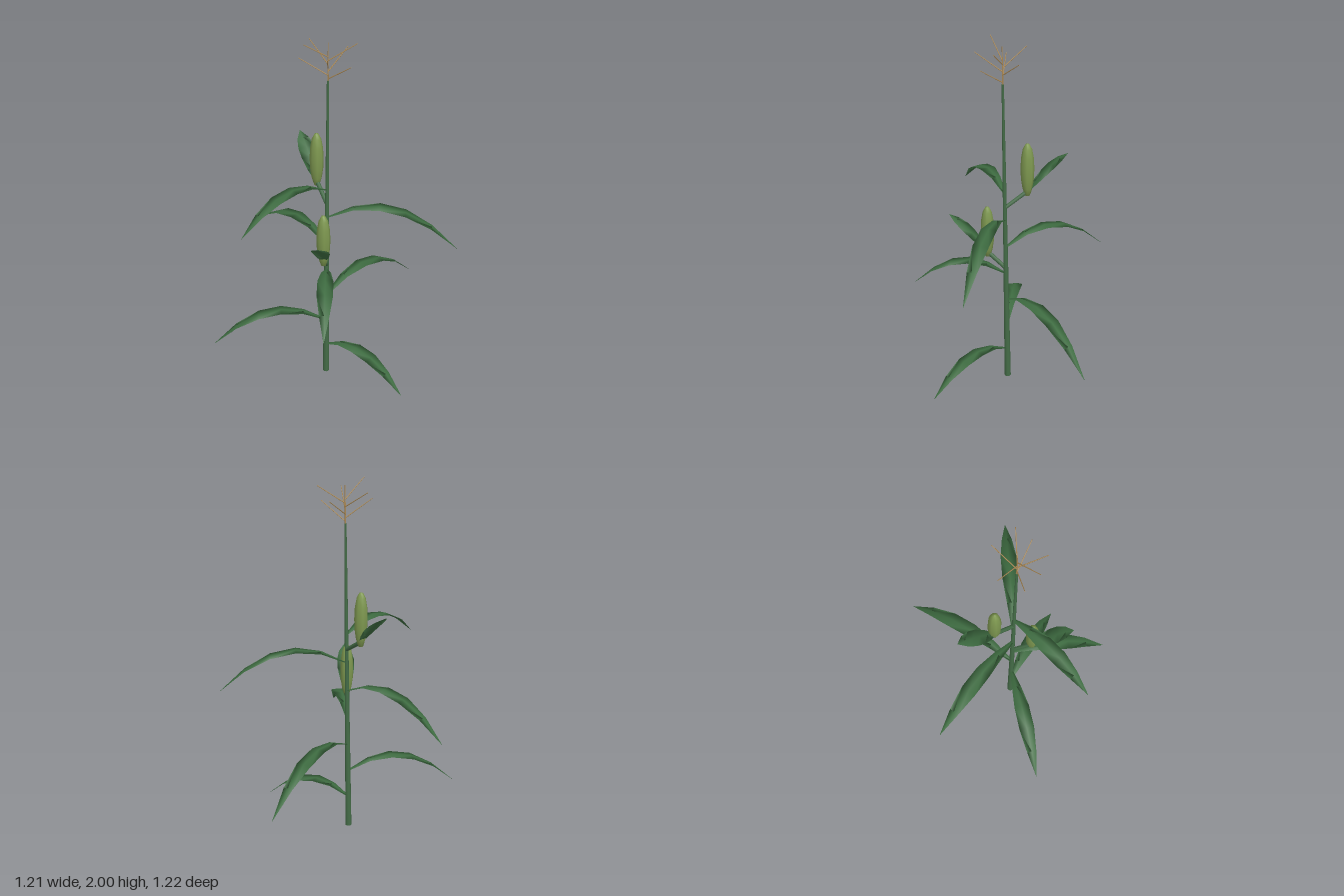
import * as THREE from 'three';

const GOLDEN = THREE.MathUtils.degToRad(137.5);
const V = (x, y, z) => new THREE.Vector3(x, y, z);
// centre of the slightly leaning stalk at height y
const axis = (y) => V(0.006 + 0.0125 * y, y, 0.096);

// tapered rod between two points
function rod(name, a, b, r0, r1, sides, material) {
  const dir = b.clone().sub(a);
  const mesh = new THREE.Mesh(new THREE.CylinderGeometry(r1, r0, dir.length(), sides), material);
  mesh.position.copy(a).addScaledVector(dir, 0.5);
  mesh.quaternion.setFromUnitVectors(V(0, 1, 0), dir.normalize());
  mesh.name = name;
  return mesh;
}

// slim leaf along spine(t): a flat diamond section, half widths given at equal steps
function blade(name, spine, side, widths, material) {
  const pos = [], index = [];
  widths.forEach((w, i) => {
    const p = spine(i / (widths.length - 1));
    const h = Math.min(0.004, w);
    const ring = [side.clone().multiplyScalar(w), V(0, h, 0), side.clone().multiplyScalar(-w), V(0, -h, 0)];
    ring.forEach((q, j) => {
      pos.push(...q.add(p).toArray());
      if (!i) return;
      const a = 4 * i - 4 + j, b = 4 * i - 4 + (j + 1) % 4;
      index.push(a, b, a + 4, b, b + 4, a + 4);
    });
  });
  const geo = new THREE.BufferGeometry();
  geo.setAttribute('position', new THREE.Float32BufferAttribute(pos, 3));
  geo.setIndex(index);
  geo.computeVertexNormals();
  const mesh = new THREE.Mesh(geo, material);
  mesh.name = name;
  return mesh;
}

export function createModel() {
  const plant = new THREE.Group();
  plant.name = 'plant';
  const make = (name, color) => {
    const m = new THREE.MeshStandardMaterial({ color });
    m.name = name;
    return m;
  };
  const stalkGreen = make('stalk green', 0x446c47);
  const leafGreen = make('leaf green', 0x3e6c41);
  leafGreen.side = THREE.DoubleSide;
  const earGreen = make('ear green', 0x7e9850);
  const tasselTan = make('tassel tan', 0xb08d57);

  // stalk
  plant.add(rod('stalk', axis(0), axis(1.78), 0.018, 0.006, 8, stalkGreen));

  // arching leaves spiralling up the stalk
  const lengths = [0.525, 0.625, 0.705, 0.525, 0.632, 0.692, 0.532];
  lengths.forEach((len, i) => {
    const a = i * GOLDEN, start = axis(0.185 + 0.1635 * i);
    const out = V(Math.cos(a), 0, Math.sin(a));
    const spine = (t) => start.clone().addScaledVector(out, t * len)
      .add(V(0, len * (0.62 * t - 0.835 * t * t), 0));
    plant.add(blade('leaf', spine, V(Math.sin(a), 0, -Math.cos(a)),
      [0.008, 0.026, 0.042, 0.043, 0.027, 0.001], leafGreen));
  });

  // ears, each with a shank and a husk leaf
  const profile = [[0, 0], [0.014, 0.002], [0.027, 0.045], [0.035, 0.1], [0.037, 0.16],
    [0.034, 0.22], [0.025, 0.27], [0.011, 0.297], [0, 0.302]]
    .map(([r, y]) => new THREE.Vector2(r, y));
  const ears = [
    { from: 0.71, foot: V(0.068, 0.768, 0.187), tip: V(0.184, 0.99, 0.375) },
    { from: 1.08, foot: V(-0.094, 1.138, 0.043), tip: V(-0.293, 1.362, -0.057) },
  ];
  for (const { from, foot, tip } of ears) {
    const ear = new THREE.Group();
    ear.name = 'ear';
    const cob = new THREE.Mesh(new THREE.LatheGeometry(profile, 8), earGreen);
    cob.position.copy(foot);
    cob.name = 'cob';
    const joint = foot.clone().add(V(0, 0.025, 0));
    const dir = tip.clone().sub(joint);
    const side = V(dir.z, 0, -dir.x).normalize();
    const spine = (t) => joint.clone().addScaledVector(dir, t)
      .add(V(0, 0.02 * Math.sin(Math.PI * t), 0));
    ear.add(cob, rod('shank', axis(from), joint, 0.011, 0.012, 6, stalkGreen),
      blade('huskLeaf', spine, side, [0.012, 0.034, 0.046, 0.047, 0.034, 0.001], leafGreen));
    plant.add(ear);
  }

  // tassel: a centre spike and seven spiralling branches
  const tassel = new THREE.Group();
  tassel.name = 'tassel';
  tassel.add(rod('spike', axis(1.77), axis(1.98), 0.004, 0.002, 5, tasselTan));
  for (let i = 0; i < 7; i++) {
    const a = i * GOLDEN, base = axis(1.79 + 0.0192 * i);
    const end = base.clone().add(V(0.144 * Math.cos(a), 0.094, 0.144 * Math.sin(a)));
    tassel.add(rod('tasselBranch', base, end, 0.003, 0.002, 5, tasselTan));
  }
  plant.add(tassel);
  return plant;
}
